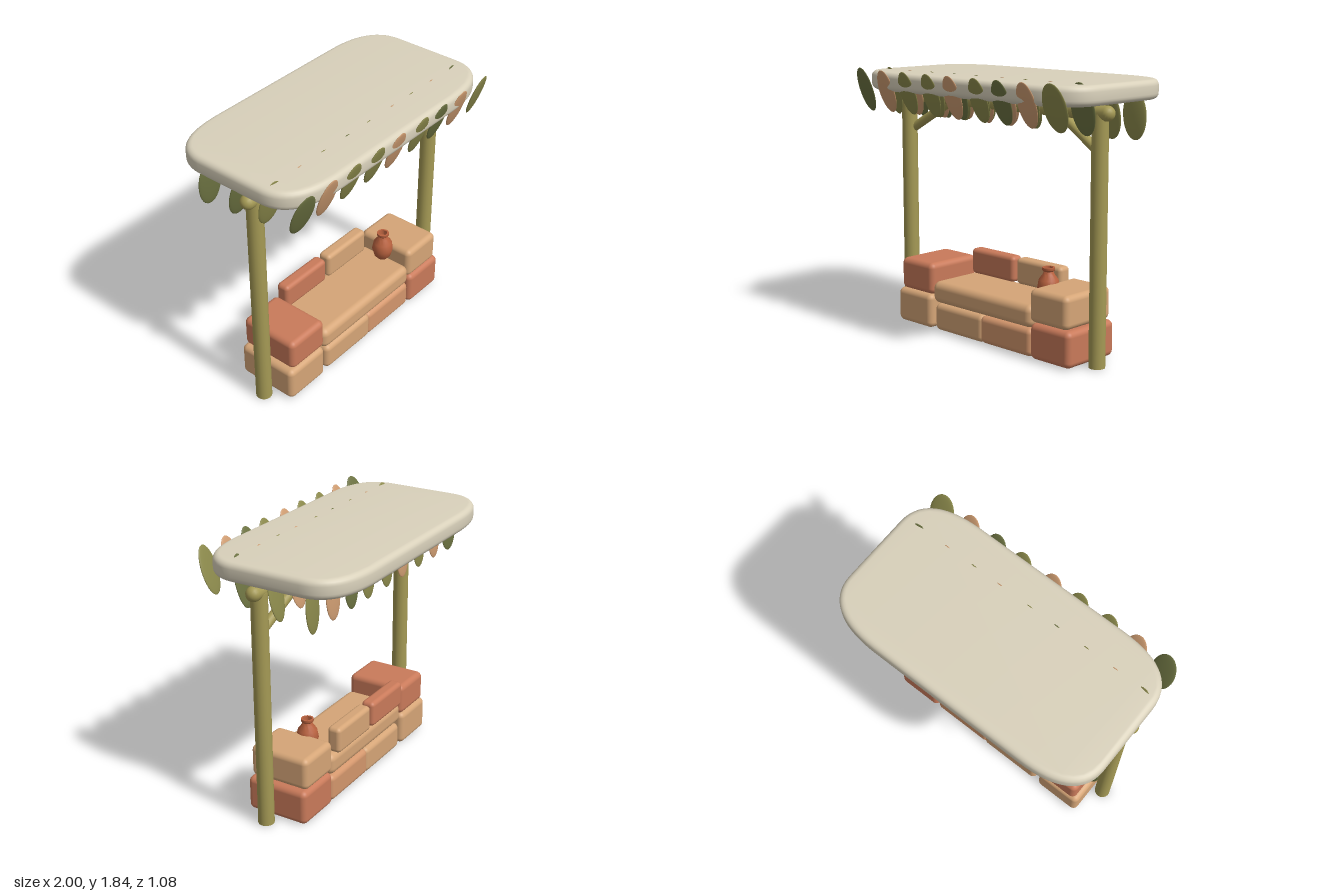
import * as THREE from 'three';
import { toCreasedNormals } from 'three/addons/utils/BufferGeometryUtils.js';
import { RoundedBoxGeometry } from 'three/addons/geometries/RoundedBoxGeometry.js';

const mat = (color, side = THREE.FrontSide) => new THREE.MeshStandardMaterial({ color, side });
const WOOD = mat(0xa59a55), CANVAS = mat(0xd9d1bb), SAND = mat(0xd5a577), CLAY = mat(0xc97a5a),
  PEACH = mat(0xd3966c), POT = mat(0xb9623f, THREE.DoubleSide);
const LEAF = { T: mat(0xcf9d72), O: mat(0x8c8a4c), G: mat(0x6d7342) };

export function createModel() {
  const root = new THREE.Group();
  const add = (name, geometry, material, parent = root) => {
    const mesh = new THREE.Mesh(geometry, material);
    mesh.name = name;
    parent.add(mesh);
    return mesh;
  };
  const V = (x, y, z) => new THREE.Vector3(x, y, z);

  // Round pole between two points
  const pole = (name, a, b, r) => {
    const mesh = add(name, new THREE.CylinderGeometry(r, r, a.distanceTo(b), 18), WOOD);
    mesh.position.copy(a).lerp(b, 0.5);
    mesh.quaternion.setFromUnitVectors(V(0, 1, 0), b.clone().sub(a).normalize());
    return mesh;
  };

  // Rounded cushion given by its minimum and maximum corners
  const cushion = (name, [x0, y0, z0], [x1, y1, z1], material, r = 0.04) => {
    const mesh = add(name, new RoundedBoxGeometry(x1 - x0, y1 - y0, z1 - z0, 4, r), material);
    mesh.position.set((x0 + x1) / 2, (y0 + y1) / 2, (z0 + z1) / 2);
  };

  // Canopy slab with softly rounded corners
  const bevel = 0.04, hx = 1 - bevel, hz = 0.525 - bevel, cx = 0.4, cz = 0.24;
  const plan = new THREE.Shape();
  plan.moveTo(hx, -hz + cz);
  plan.lineTo(hx, hz - cz);
  plan.quadraticCurveTo(hx, hz, hx - cx, hz);
  plan.lineTo(-hx + cx, hz);
  plan.quadraticCurveTo(-hx, hz, -hx, hz - cz);
  plan.lineTo(-hx, -hz + cz);
  plan.quadraticCurveTo(-hx, -hz, -hx + cx, -hz);
  plan.lineTo(hx - cx, -hz);
  plan.quadraticCurveTo(hx, -hz, hx, -hz + cz);
  const slab = new THREE.ExtrudeGeometry(plan, {
    depth: 0.05, bevelThickness: bevel, bevelSize: bevel, bevelSegments: 5, curveSegments: 14,
  });
  slab.rotateX(-Math.PI / 2);
  slab.translate(0, 1.73, -0.015);
  add('canopy', toCreasedNormals(slab, 0.6), CANVAS);

  // Frame: posts, ridge beam with rounded ends, diagonal braces
  for (const s of [-1, 1]) {
    const side = s > 0 ? 'left' : 'right';
    pole(side + 'Post', V(s * 0.895, 0, 0.095), V(s * 0.895, 1.63, 0.095), 0.055);
    pole(side + 'Brace', V(s * 0.88, 1.385, 0.08), V(s * 0.46, 1.635, 0.035), 0.032);
  }
  const beam = add('beam', new THREE.CapsuleGeometry(0.05, 1.9, 6, 18), WOOD);
  beam.rotation.z = Math.PI / 2;
  beam.position.set(0, 1.635, 0.095);

  // Four hanging rows of leaves: [top z, top y, bottom z, bottom y, colours]
  const leafX = [-0.9, -0.68, -0.46, -0.23, -0.02, 0.22, 0.425, 0.64, 0.87];
  const rows = [
    [0.535, 1.84, 0.43, 1.54, 'GTOOTOGTO'],
    [0.272, 1.83, 0.19, 1.5, 'OTOGOTOTG'],
    [0.02, 1.78, -0.048, 1.46, 'GTOTOOGTO'],
    [-0.265, 1.75, -0.283, 1.43, 'GTOTOOGTO'],
  ];
  const leafShape = new THREE.SphereGeometry(1, 20, 14);
  rows.forEach(([zt, yt, zb, yb, colours], r) => {
    const row = new THREE.Group();
    row.name = 'leafRow' + (r + 1);
    root.add(row);
    leafX.forEach((x, i) => {
      const edge = i === 0 || i === leafX.length - 1;
      const leaf = add('leaf', leafShape, LEAF[colours[i]], row);
      leaf.scale.set(edge ? 0.088 : 0.08, Math.hypot(zt - zb, yt - yb) / 2 * (edge ? 1.02 : 0.97), 0.013);
      leaf.position.set(x, (yt + yb) / 2, (zt + zb) / 2);
      leaf.rotation.x = Math.atan2(zt - zb, yt - yb);
      if (edge) leaf.rotation.y = Math.sign(x) * 0.12;
    });
  });

  // Sofa base, seat and back cushions
  cushion('rightBase', [-0.45, 0.005, -0.16], [0.03, 0.2, 0.28], SAND);
  cushion('leftBase', [0.0, 0.005, -0.158], [0.48, 0.2, 0.278], PEACH);
  cushion('seat', [-0.475, 0.2, -0.155], [0.48, 0.355, 0.28], SAND, 0.05);
  cushion('rightBackCushion', [-0.445, 0.355, -0.18], [-0.025, 0.54, -0.08], CLAY, 0.03);
  cushion('leftBackCushion', [0.0, 0.355, -0.18], [0.42, 0.54, -0.08], SAND, 0.03);

  // Stacked arm cushions
  cushion('rightArmLower', [-0.83, 0.005, -0.165], [-0.48, 0.25, 0.29], SAND);
  cushion('rightArmUpper', [-0.8, 0.25, -0.16], [-0.47, 0.475, 0.28], CLAY);
  cushion('leftArmLower', [0.478, 0.005, -0.165], [0.825, 0.25, 0.29], CLAY);
  cushion('leftArmUpper', [0.465, 0.25, -0.16], [0.795, 0.475, 0.28], SAND);

  // Vase on the seat
  const profile = [[0, 0], [0.035, 0], [0.06, 0.03], [0.076, 0.085], [0.066, 0.14], [0.04, 0.175],
    [0.033, 0.195], [0.043, 0.205], [0.043, 0.222], [0.03, 0.222], [0.027, 0.185], [0, 0.18]];
  const vase = add('vase', toCreasedNormals(
    new THREE.LatheGeometry(profile.map(p => new THREE.Vector2(...p)), 24), 0.8), POT);
  vase.position.set(0.44, 0.353, 0.06);

  return root;
}
